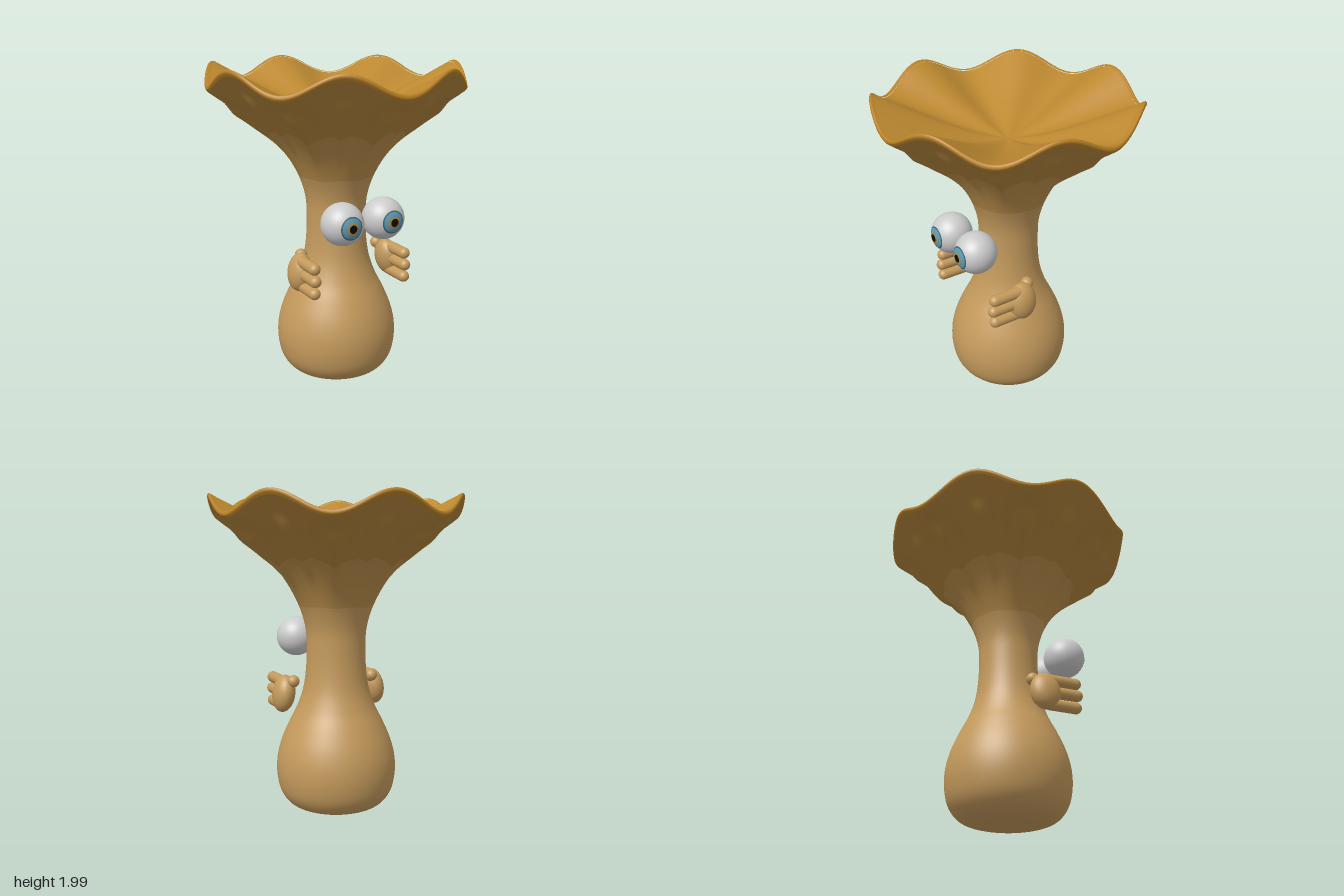
import * as THREE from 'three';
import { mergeVertices } from 'three/addons/utils/BufferGeometryUtils.js';

const RIM = 0.785;
const WAVES = 7;
const mat = (color) => new THREE.MeshStandardMaterial({ color, roughness: 0.7 });

// Smooth list of profile points through a few [radius, height] pairs
function profile(pairs, count) {
  const pts = pairs.map(([x, y]) => new THREE.Vector3(x, y, 0));
  return new THREE.CatmullRomCurve3(pts, false, 'centripetal').getPoints(count)
    .map((p) => new THREE.Vector2(Math.max(p.x, 0), p.y));
}

// Lathe whose heights are moved by rule(angle from the front, radius, height)
function pleatedLathe(points, rule) {
  let geo = new THREE.LatheGeometry(points, 168);
  const pos = geo.attributes.position;
  for (let i = 0; i < pos.count; i++) {
    const x = pos.getX(i), y = pos.getY(i), z = pos.getZ(i);
    pos.setY(i, y + rule(Math.atan2(x, z), Math.hypot(x, z), y));
  }
  geo.deleteAttribute('uv');
  geo.deleteAttribute('normal');
  geo = mergeVertices(geo, 1e-4);
  geo.computeVertexNormals();
  return geo;
}

const wave = (a) => -0.06 * Math.cos(WAVES * a);

// Underside: waves grow towards the rim, narrow ribs fade out before it
function undersideRule(a, r, y) {
  const grow = THREE.MathUtils.smoothstep(y, 1.1, 1.5);
  const ribs = THREE.MathUtils.smoothstep(r, 0.26, 0.5) * (1 - THREE.MathUtils.smoothstep(r, 0.62, 0.69));
  return grow * (wave(a) * Math.pow(r / RIM, 2) - 0.035 * ribs * Math.pow(Math.cos(WAVES * a), 6));
}

// Bowl: pleats run all the way to the middle
const bowlRule = (a, r) => wave(a) * Math.pow(Math.min(r / RIM, 1), 1.4);

function add(group, name, geo, material, x = 0, y = 0, z = 0) {
  const mesh = new THREE.Mesh(geo, material);
  mesh.name = name;
  mesh.position.set(x, y, z);
  group.add(mesh);
  return mesh;
}

function makeEye(side) {
  const eye = new THREE.Group();
  eye.name = side > 0 ? 'leftEye' : 'rightEye';
  add(eye, 'eyeball', new THREE.SphereGeometry(0.13, 40, 28), mat(0xcccccc));
  // Nested caps on the front of the ball: [name, cap radius, colour]
  [['irisEdge', 0.071, 0x3c6474], ['iris', 0.064, 0x5f9ab4], ['irisRing', 0.037, 0xb08a3c], ['pupil', 0.025, 0x0a0a0a]]
    .forEach(([name, r, color], i) => {
      const R = 0.1308 + i * 0.0008;
      const cap = new THREE.SphereGeometry(R, 40, 8, 0, Math.PI * 2, 0, Math.asin(r / R));
      cap.rotateX(Math.PI / 2);
      add(eye, name, cap, mat(color));
    });
  eye.position.set(side * 0.142, 1.09, 0.327);
  return eye;
}

function makeHand(side, skin) {
  const hand = new THREE.Group();
  hand.name = side > 0 ? 'leftHand' : 'rightHand';
  const palm = add(hand, 'palm', new THREE.SphereGeometry(1, 32, 24), skin, side * 0.317, 0.755, 0.108);
  palm.scale.set(0.07, 0.12, 0.095);
  palm.rotation.z = side * 0.15;
  // Three fingers pointing forward
  [[0.83, 0.342], [0.755, 0.352], [0.675, 0.342]].forEach(([y, tip], i) => {
    const length = tip - 0.1;
    const finger = new THREE.CapsuleGeometry(0.036, length - 0.072, 10, 20);
    finger.rotateX(Math.PI / 2);
    add(hand, 'finger' + (i + 1), finger, skin, side * 0.318, y, 0.1 + length / 2);
  });
  // Thumb leaning up, back and inward
  const from = new THREE.Vector3(side * 0.31, 0.78, 0.1);
  const to = new THREE.Vector3(side * 0.275, 0.84, 0.045);
  const thumb = add(hand, 'thumb', new THREE.CapsuleGeometry(0.034, from.distanceTo(to), 10, 20), skin);
  thumb.position.copy(from).lerp(to, 0.5);
  thumb.quaternion.setFromUnitVectors(new THREE.Vector3(0, 1, 0), to.clone().sub(from).normalize());
  add(hand, 'thumbTip', new THREE.SphereGeometry(0.039, 20, 16), skin, to.x, to.y, to.z);
  return hand;
}

export function createModel() {
  const model = new THREE.Group();
  model.name = 'trumpetMushroom';

  // Bulbous stem flaring into the cap
  const outer = profile([
    [0, 0.01], [0.12, 0.01], [0.22, 0.018], [0.30, 0.05], [0.355, 0.12], [0.38, 0.22], [0.38, 0.33],
    [0.355, 0.44], [0.305, 0.56], [0.25, 0.67], [0.212, 0.78], [0.193, 0.9], [0.187, 1.05], [0.193, 1.17],
    [0.222, 1.28], [0.272, 1.39], [0.34, 1.5], [0.43, 1.61], [0.54, 1.71], [0.65, 1.80], [0.735, 1.87], [0.775, 1.905],
  ], 126);
  const cut1 = outer.findIndex((p) => p.y > 1.3);
  const cut2 = outer.findIndex((p) => p.y > 1.6);
  add(model, 'stem', pleatedLathe(outer.slice(0, cut1 + 1), undersideRule), mat(0xc49a5c));
  add(model, 'throat', pleatedLathe(outer.slice(cut1, cut2 + 1), undersideRule), mat(0xbb8f4c));
  add(model, 'capUnderside', pleatedLathe(outer.slice(cut2), undersideRule), mat(0xb2853c));

  // Rounded lip and the shallow pleated bowl
  const lip = profile([[0.775, 0], [0.785, 0.018], [0.778, 0.035], [0.755, 0.03]], 12)
    .map((p) => p.setY(p.y + 1.905));
  add(model, 'capLip', pleatedLathe(lip, (a, r) => wave(a) * Math.pow(r / RIM, 2)), mat(0xb98228));
  const bowl = profile([[0.757, 1.932], [0.65, 1.89], [0.5, 1.83], [0.35, 1.775], [0.2, 1.73], [0.08, 1.705], [0, 1.695]], 40);
  bowl[bowl.length - 1].x = 0;
  add(model, 'capBowl', pleatedLathe(bowl, bowlRule), mat(0xbc8830));

  const skin = mat(0xc49a5c);
  for (const side of [1, -1]) model.add(makeEye(side), makeHand(side, skin));
  return model;
}
